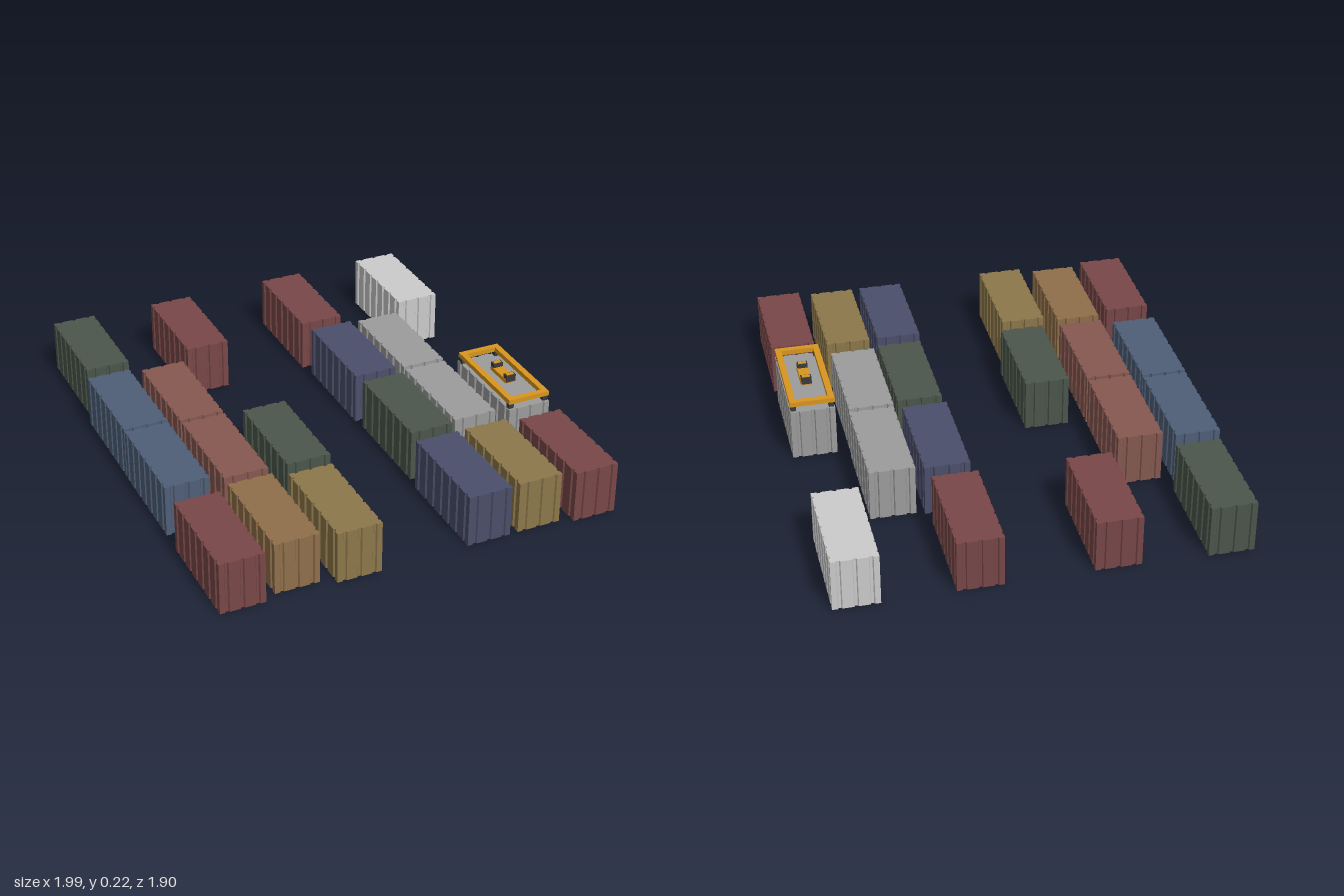
import * as THREE from 'three';

const L = 0.35, W = 0.145, H = 0.172, ANGLE = -Math.PI / 6;

const COLORS = {
  pale: 0xcccccc, grey: 0x9c9c9c, red: 0x784748, navy: 0x4b4f6a, green: 0x4b564b,
  blue: 0x4f5f77, brown: 0x855850, yellow: 0x8c774a, tan: 0x8f6f4a,
  orange: 0xd8961f, steel: 0x3a3a3e,
};
const materials = {};
for (const key in COLORS) {
  materials[key] = new THREE.MeshStandardMaterial({ color: COLORS[key], flatShading: true });
}

// colour, centre x, centre z of every container
const YARD = [
  ['pale', -0.237, -0.803], ['red', -0.42, -0.48], ['grey', 0.025, -0.435], ['navy', -0.07, -0.293],
  ['grey', 0.34, -0.25], ['green', 0.27, -0.105], ['grey', 0.45, -0.40], ['red', 0.805, -0.20],
  ['yellow', 0.695, -0.05], ['navy', 0.61, 0.10], ['red', -0.63, -0.113], ['green', -0.813, 0.187],
  ['brown', -0.365, 0.255], ['brown', -0.05, 0.437], ['blue', -0.475, 0.40], ['blue', -0.163, 0.582],
  ['green', 0.06, 0.265], ['yellow', 0.397, 0.48], ['tan', 0.28, 0.63], ['red', 0.21, 0.80],
];

// One wall of the corrugated outline, from (-len/2, -off), with shallow grooves
function wall(len, off, grooves, turn) {
  const pts = [[-len / 2, -off]];
  const depth = 0.005, half = 0.007, slope = 0.003;
  for (let i = 0; i < grooves; i++) {
    const c = -len / 2 + (len * (i + 0.5)) / grooves;
    pts.push([c - half, -off], [c - half + slope, -off + depth],
      [c + half - slope, -off + depth], [c + half, -off]);
  }
  return pts.map(([x, y]) => new THREE.Vector2(x, y).rotateAround(new THREE.Vector2(), turn));
}

function containerGeometry() {
  const outline = [
    ...wall(L, W / 2, 7, 0), ...wall(W, L / 2, 3, Math.PI / 2),
    ...wall(L, W / 2, 7, Math.PI), ...wall(W, L / 2, 3, -Math.PI / 2),
  ];
  const geo = new THREE.ExtrudeGeometry(new THREE.Shape(outline), { depth: H, bevelEnabled: false });
  return geo.rotateX(-Math.PI / 2);
}

function box(parent, name, mat, size, pos) {
  const mesh = new THREE.Mesh(new THREE.BoxGeometry(...size), materials[mat]);
  mesh.name = name;
  mesh.position.set(...pos);
  parent.add(mesh);
}

// Lifting frame resting on one container
function createSpreader() {
  const g = new THREE.Group();
  g.name = 'liftingFrame';
  const y = 0.198, t = 0.02, h = 0.016;
  for (const s of [-1, 1]) {
    box(g, 'sideBeam', 'orange', [L - 0.01, h, t], [0, y, s * (W / 2 - t / 2)]);
    box(g, 'endBeam', 'orange', [t, h, W - 2 * t], [s * (L / 2 - 0.005 - t / 2), y, 0]);
    // dark corner locks
    for (const e of [-1, 1]) {
      box(g, 'cornerLock', 'steel', [0.017, 0.022, 0.017],
        [s * (L / 2 - 0.017), 0.181, e * (W / 2 - 0.011)]);
    }
    box(g, 'liftingLug', 'steel', [0.02, 0.024, 0.034], [s * 0.042, 0.207, 0]);
    box(g, 'lugCap', 'orange', [0.012, 0.004, 0.026], [s * 0.042, 0.219, 0]);
  }
  box(g, 'centrePlate', 'orange', [0.1, 0.014, 0.036], [0, y, 0]);
  return g;
}

export function createModel() {
  const model = new THREE.Group();
  model.name = 'containerYard';
  const geo = containerGeometry();
  for (const [color, x, z] of YARD) {
    const mesh = new THREE.Mesh(geo, materials[color]);
    mesh.name = color + 'Container';
    mesh.position.set(x, 0, z);
    mesh.rotation.y = ANGLE;
    model.add(mesh);
  }
  const spreader = createSpreader();
  spreader.position.set(0.45, 0, -0.40);
  spreader.rotation.y = ANGLE;
  model.add(spreader);
  return model;
}
